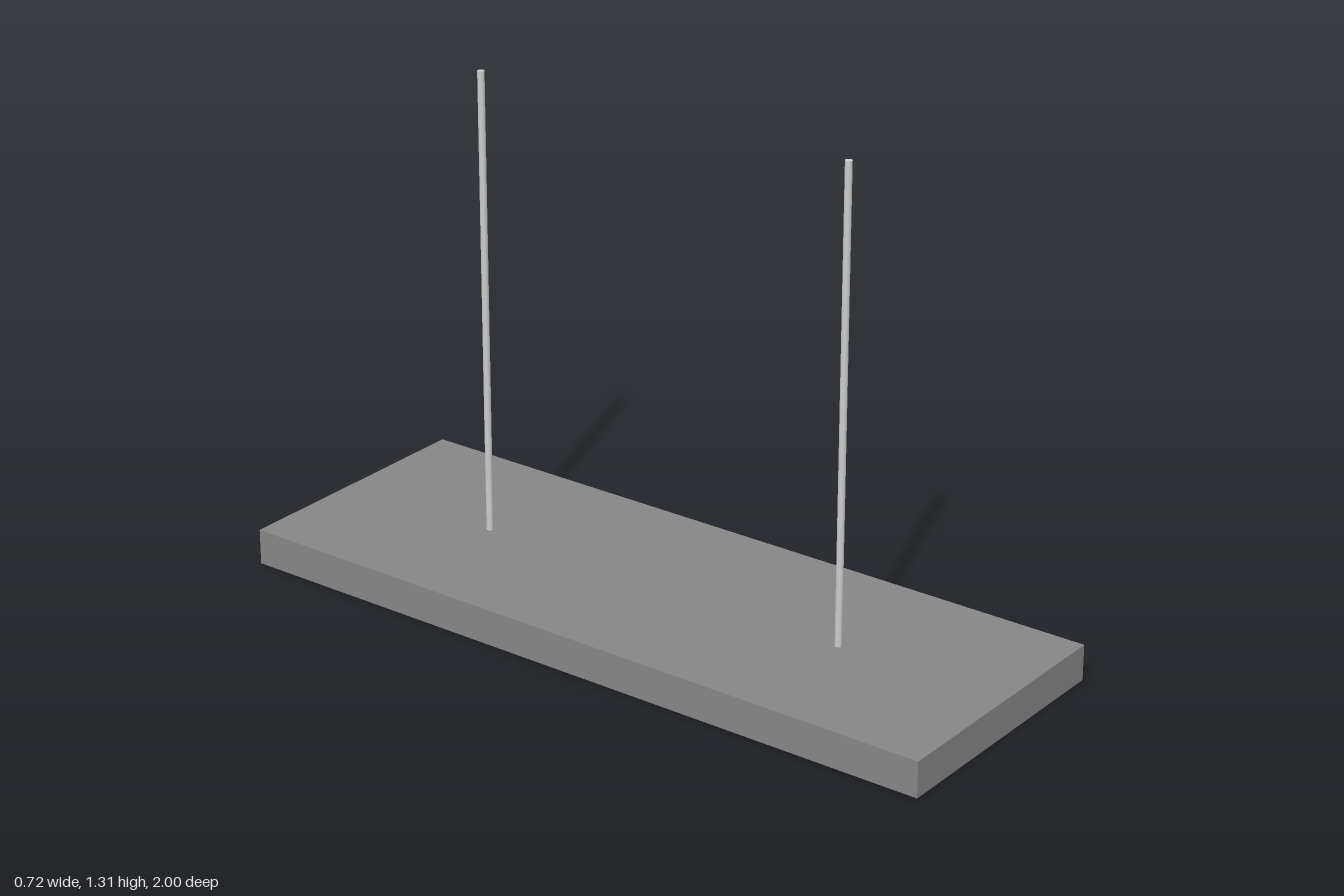
import * as THREE from 'three';

const W = 0.716, L = 2, H = 0.094;   // housing width, length, height
const RIM = 0.032, GROOVE = 0.016, DEPTH = 0.02;

export function createModel() {
  const group = new THREE.Group();
  const dark = new THREE.MeshStandardMaterial({ color: 0x868686 });
  const light = new THREE.MeshStandardMaterial({ color: 0xcccccc });

  const add = (name, geometry, material, x, y, z) => {
    const mesh = new THREE.Mesh(geometry, material);
    mesh.name = name;
    mesh.position.set(x, y, z);
    group.add(mesh);
    return mesh;
  };

  const rectangle = (Type, w, l) => new Type([
    new THREE.Vector2(-w / 2, -l / 2), new THREE.Vector2(w / 2, -l / 2),
    new THREE.Vector2(w / 2, l / 2), new THREE.Vector2(-w / 2, l / 2),
  ]);

  // Flat housing of the hanging lamp
  add('housing', new THREE.BoxGeometry(W, H - DEPTH, L), dark, 0, (H + DEPTH) / 2, 0);

  // Rim running around the underside
  const rim = rectangle(THREE.Shape, W, L);
  rim.holes.push(rectangle(THREE.Path, W - 2 * RIM, L - 2 * RIM));
  const rimGeometry = new THREE.ExtrudeGeometry(rim, { depth: DEPTH, bevelEnabled: false });
  rimGeometry.rotateX(-Math.PI / 2);
  add('housingRim', rimGeometry, dark, 0, 0, 0);

  // Light panel, set inside the rim with a narrow groove around it
  const inset = 2 * (RIM + GROOVE);
  add('lightPanel', new THREE.BoxGeometry(W - inset, DEPTH, L - inset), light, 0, DEPTH / 2, 0);

  // Two suspension rods
  const rodTop = 1.315;
  const rodGeometry = new THREE.CylinderGeometry(0.009, 0.009, rodTop - H, 16);
  for (const [name, z] of [['frontRod', 0.537], ['backRod', -0.537]]) {
    add(name, rodGeometry, light, 0, (rodTop + H) / 2, z);
  }

  return group;
}
